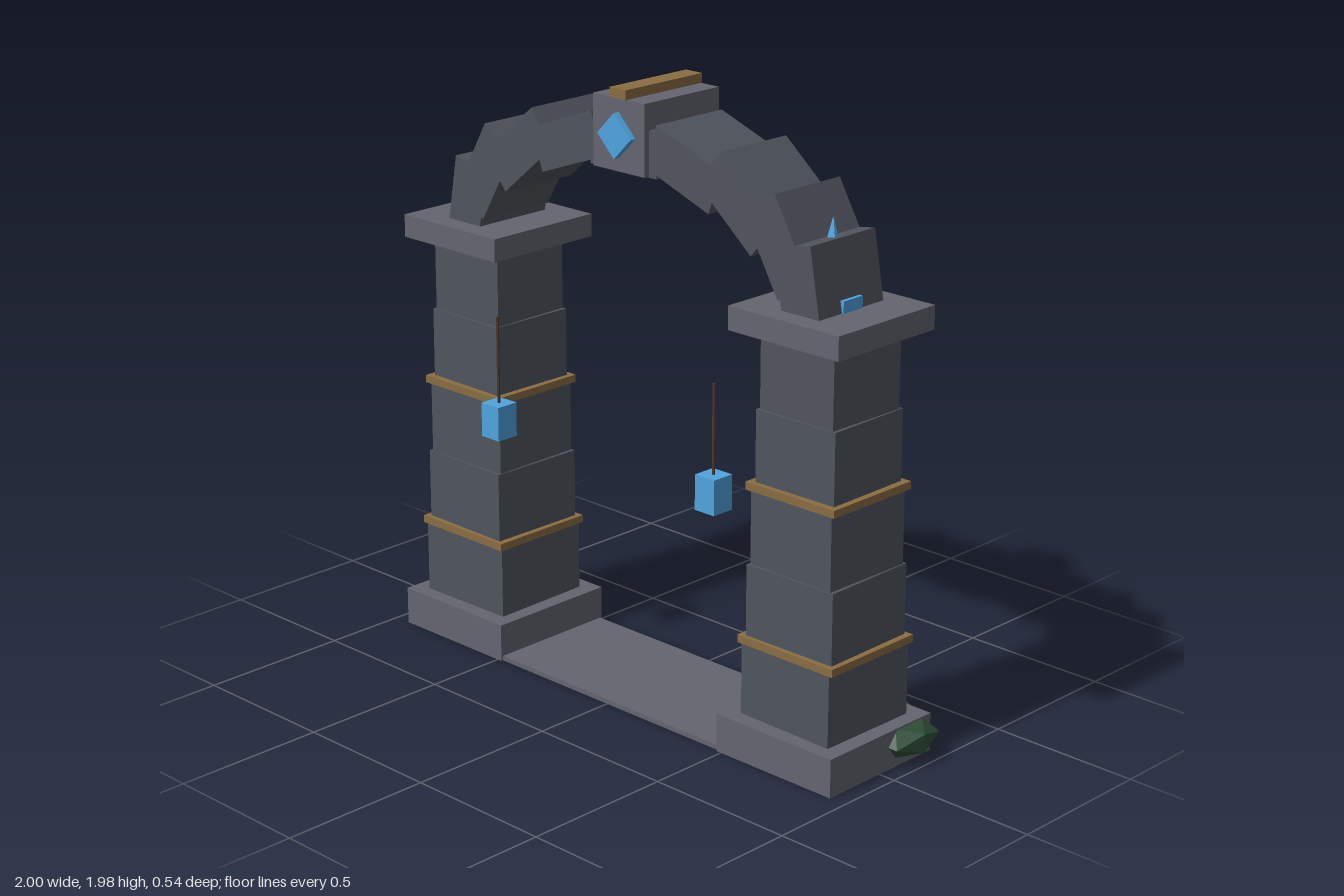
import * as THREE from 'three';

const mat = (color) => new THREE.MeshStandardMaterial({ color, flatShading: true });
const stone = mat(0x50545d);
const trim = mat(0x64656f);
const wood = mat(0x8b6d42);
const blue = mat(0x4fa4e0);
const moss = mat(0x2f4f38);
const rodMat = mat(0x4a3a2c);

function add(parent, name, geometry, material, x, y, z = 0) {
  const mesh = new THREE.Mesh(geometry, material);
  mesh.name = name;
  mesh.position.set(x, y, z);
  parent.add(mesh);
  return mesh;
}
const box = (w, h, d) => new THREE.BoxGeometry(w, h, d);

// One pillar with its base, tapering blocks, bands, cap and ornaments
function pillar(side) {
  const g = new THREE.Group();
  g.name = side > 0 ? 'leftPillar' : 'rightPillar';
  const x = 0.712 * side;
  add(g, 'base', box(0.46, 0.125, 0.46), trim, x, 0.0625);
  for (let i = 0; i < 5; i++) {
    const w = 0.355 - i * 0.0165;
    const block = add(g, 'pillarBlock', box(w, 0.246, w), stone, x, 0.247 + i * 0.245);
    block.rotation.y = (i % 2 ? 0.012 : -0.018) * side;
  }
  add(g, 'lowerBand', box(0.378, 0.025, 0.37), wood, x, 0.373);
  add(g, 'upperBand', box(0.348, 0.025, 0.345), wood, x, 0.865);
  add(g, 'cap', box(0.425, 0.075, 0.425), trim, x, 1.385);

  // Blue inlay and crystal at the foot of the arch
  add(g, 'inlay', box(0.02, 0.08, 0.084), blue, 0.784 * side, 1.42);
  add(g, 'crystal', new THREE.ConeGeometry(0.021, 0.08, 6), blue, x, 1.652);

  // Hanging lantern
  add(g, 'lanternRod', new THREE.CylinderGeometry(0.005, 0.005, 0.29, 6), rodMat, 0.467 * side, 1.037, 0.235);
  add(g, 'lantern', box(0.078, 0.112, 0.078), blue, 0.467 * side, 0.842, 0.235);

  // Moss clumps on the outer side and the back of the base
  const clump = (px, pz, rx, rz) => {
    const geo = new THREE.IcosahedronGeometry(1 / 0.8507, 0).rotateX(Math.PI / 2);
    geo.scale(rx, 0.048, rz);
    add(g, 'moss', geo, moss, px * side, 0.073, pz);
  };
  clump(0.935, -0.135, 0.065, 0.1);
  clump(0.835, -0.22, 0.1, 0.045);
  return g;
}

export function createModel() {
  const model = new THREE.Group();
  model.name = 'archGate';
  const body = new THREE.Group();
  body.name = 'gate';
  body.position.z = -0.005;
  model.add(body);

  add(body, 'threshold', box(1.0, 0.016, 0.445), trim, 0, 0.008);
  body.add(pillar(1), pillar(-1));

  // Nine arch blocks along a half ellipse
  for (let i = 0; i < 9; i++) {
    const a = THREE.MathUtils.degToRad(10 + 20 * i);
    const block = add(body, 'archBlock', box(0.143, 0.28, 0.283), stone,
      0.715 * Math.cos(a), 1.421 + 0.37 * Math.sin(a));
    block.rotation.z = a;
  }

  // Keystone with wooden ridge and diamond gem
  add(body, 'keystone', box(0.216, 0.224, 0.32), trim, 0, 1.834);
  add(body, 'ridge', box(0.068, 0.03, 0.328), wood, 0, 1.961);
  const gem = add(body, 'gem', box(0.1, 0.1, 0.03), blue, 0, 1.834, 0.166);
  gem.rotation.z = Math.PI / 4;
  return model;
}
